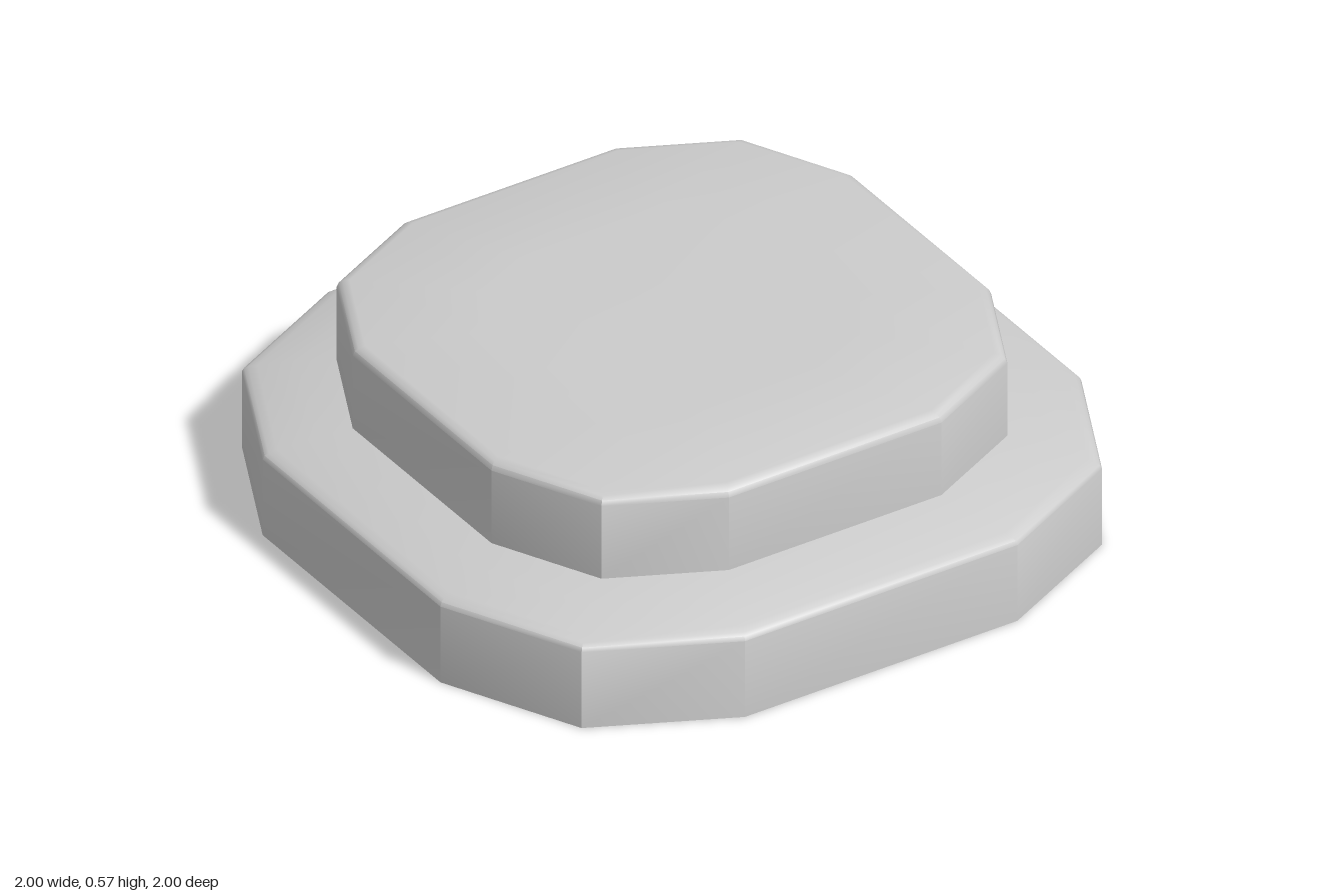
import * as THREE from 'three';
import { toCreasedNormals } from 'three/addons/utils/BufferGeometryUtils.js';

// Twelve-sided outline: one quarter turned four times, counter-clockwise from above
const outline = [];
let quarter = [[1, 0.425], [0.812, 0.812], [0.425, 1]];
for (let q = 0; q < 4; q++) {
  outline.push(...quarter);
  quarter = quarter.map(([x, y]) => [-y, x]);
}

// Shell swept through [scale, height] steps of the outline
function shell(name, profile, material) {
  const pos = [];
  const n = outline.length;
  const point = ([s, h], i) => {
    const [x, y] = outline[i % n];
    return [x * s, h, -y * s];
  };
  for (let k = 0; k < profile.length - 1; k++) {
    const low = profile[k], high = profile[k + 1];
    for (let i = 0; i < n; i++) {
      const a = point(low, i), b = point(low, i + 1);
      const c = point(high, i + 1), d = point(high, i);
      pos.push(...a, ...b, ...c);
      if (high[0] > 0) pos.push(...a, ...c, ...d);
    }
  }
  const geometry = new THREE.BufferGeometry();
  geometry.setAttribute('position', new THREE.Float32BufferAttribute(pos, 3));
  const mesh = new THREE.Mesh(toCreasedNormals(geometry, 0.56), material);
  mesh.name = name;
  return mesh;
}

export function createModel() {
  const group = new THREE.Group();
  group.name = 'steppedCap';
  const material = new THREE.MeshStandardMaterial({ color: 0xcccccc, side: THREE.DoubleSide });

  // Wide lower skirt, open underneath, with a rounded edge and gently domed shoulder
  group.add(shell('lowerSkirt', [
    [1, 0], [1, 0.235], [0.995, 0.246], [0.985, 0.253], [0.965, 0.26],
    [0.87, 0.288], [0.78, 0.305],
  ], material));

  // Raised upper tier with a softened rim and slightly crowned top
  group.add(shell('upperTier', [
    [0.78, 0.305], [0.78, 0.53], [0.775, 0.544], [0.766, 0.552], [0.75, 0.557],
    [0.42, 0.567], [0, 0.567],
  ], material));

  return group;
}
